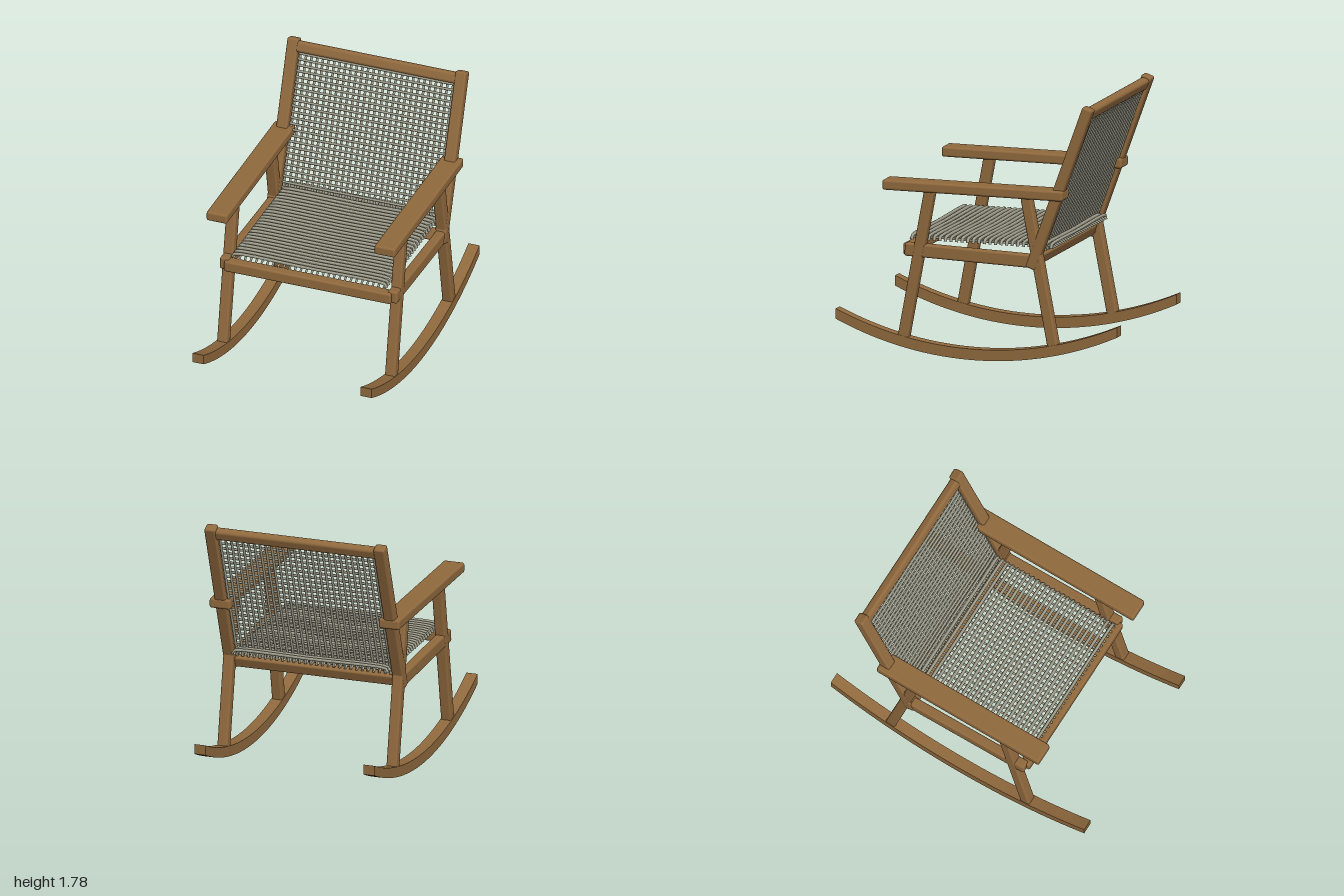
import * as THREE from 'three';
import { RoundedBoxGeometry } from 'three/addons/geometries/RoundedBoxGeometry.js';

const SIDE_X = 0.605;
const TILT = -0.347; // lean of the backrest

export function createModel() {
  const model = new THREE.Group();
  const wood = new THREE.MeshStandardMaterial({ color: 0x916a3e });
  wood.name = 'wood';
  const cord = new THREE.MeshStandardMaterial({ color: 0xa09e8c });
  cord.name = 'cord';

  // Rounded wooden bar
  function bar(name, w, h, d, x, y, z, tilt = 0, r = 0.014) {
    const mesh = new THREE.Mesh(new RoundedBoxGeometry(w, h, d, 2, r), wood);
    mesh.name = name;
    mesh.position.set(x, y, z);
    mesh.rotation.x = tilt;
    model.add(mesh);
  }

  // Bar between two [z, y] points in a side plane
  function beam(name, x, a, b, w, d) {
    const dz = b[0] - a[0], dy = b[1] - a[1];
    bar(name, w, Math.hypot(dz, dy), d, x, (a[1] + b[1]) / 2, (a[0] + b[0]) / 2, Math.atan2(dz, dy));
  }

  // Curved runner: lower and upper arcs with vertical ends
  function rockerGeometry() {
    const arc = (z, base, rise) => {
      const radius = (1 + rise * rise) / (2 * rise);
      return base + radius - Math.sqrt(radius * radius - z * z);
    };
    const pts = [];
    const n = 32;
    for (let i = 0; i <= n; i++) {
      const z = -1 + (2 * i) / n;
      pts.push(new THREE.Vector2(z, arc(z, 0, 0.22)));
    }
    for (let i = n; i >= 0; i--) {
      const z = -1 + (2 * i) / n;
      pts.push(new THREE.Vector2(z, arc(z, 0.075, 0.215)));
    }
    const geo = new THREE.ExtrudeGeometry(new THREE.Shape(pts), { depth: 0.08, bevelEnabled: false });
    geo.translate(0, 0, -0.04);
    geo.rotateY(-Math.PI / 2);
    return geo;
  }
  const rockerGeo = rockerGeometry();

  for (const s of [1, -1]) {
    const side = s > 0 ? 'left' : 'right';
    const x = s * SIDE_X;
    const rocker = new THREE.Mesh(rockerGeo, wood);
    rocker.name = side + 'Rocker';
    rocker.position.x = x;
    model.add(rocker);
    beam(side + 'FrontLeg', x, [0.53, 0.11], [0.34, 1.135], 0.074, 0.074);
    beam(side + 'RearLeg', x, [-0.54, 0.11], [-0.345, 1.135], 0.074, 0.074);
    beam(side + 'BackPost', x, [-0.38, 0.65], [-0.787, 1.77], 0.08, 0.074);
    beam(side + 'SideRail', x, [0.515, 0.725], [-0.4, 0.698], 0.068, 0.09);
    bar(side + 'Armrest', 0.15, 0.07, 1.28, s * 0.605, 1.165, 0.02, 0, 0.016);
  }

  // Cross rails
  bar('frontRail', 1.2, 0.08, 0.075, 0, 0.72, 0.502);
  bar('rearRail', 1.2, 0.08, 0.066, 0, 0.703, -0.392, TILT);
  bar('topRail', 1.2, 0.078, 0.064, 0, 1.72, -0.767, TILT, 0.022);

  // Woven panel in its own x-y plane; cord ends curl away from the face
  function wovenPanel(name, halfW, halfH, cols, rows, rAcross, rAlong, curl) {
    const panel = new THREE.Group();
    panel.name = name;
    function strand(offset, half, across, radius, level) {
      const place = (t, w) => across ? new THREE.Vector3(t, offset, w) : new THREE.Vector3(offset, t, w);
      const inner = half - 0.03;
      const pts = [
        place(-half, -curl), place(-half + 0.006, level - curl * 0.4), place(-inner, level),
        place(0, level),
        place(inner, level), place(half - 0.006, level - curl * 0.4), place(half, -curl),
      ];
      const path = new THREE.CurvePath();
      for (let i = 0; i < pts.length - 1; i++) path.add(new THREE.LineCurve3(pts[i], pts[i + 1]));
      // Round only the ends, keeping the long run straight
      const curve = new THREE.CatmullRomCurve3(pts, false, 'centripetal');
      const mesh = new THREE.Mesh(new THREE.TubeGeometry(curve, 40, radius, 8), cord);
      mesh.name = across ? 'crossCord' : 'longCord';
      panel.add(mesh);
    }
    const w = halfW - 0.015, h = halfH - 0.015;
    for (let i = 0; i < rows; i++) strand(-h + (2 * h * i) / (rows - 1), halfW, true, rAcross, 0.007);
    for (let i = 0; i < cols; i++) strand(-w + (2 * w * i) / (cols - 1), halfH, false, rAlong, -0.006);
    model.add(panel);
    return panel;
  }

  const seat = wovenPanel('wovenSeat', 0.555, 0.51, 28, 26, 0.011, 0.008, 0.022);
  seat.rotation.x = -Math.PI / 2;
  seat.position.set(0, 0.802, -0.005);

  const back = wovenPanel('wovenBack', 0.565, 0.5, 28, 25, 0.009, 0.009, 0.012);
  back.rotation.x = TILT;
  back.position.set(0, 1.22, -0.588);

  return model;
}
